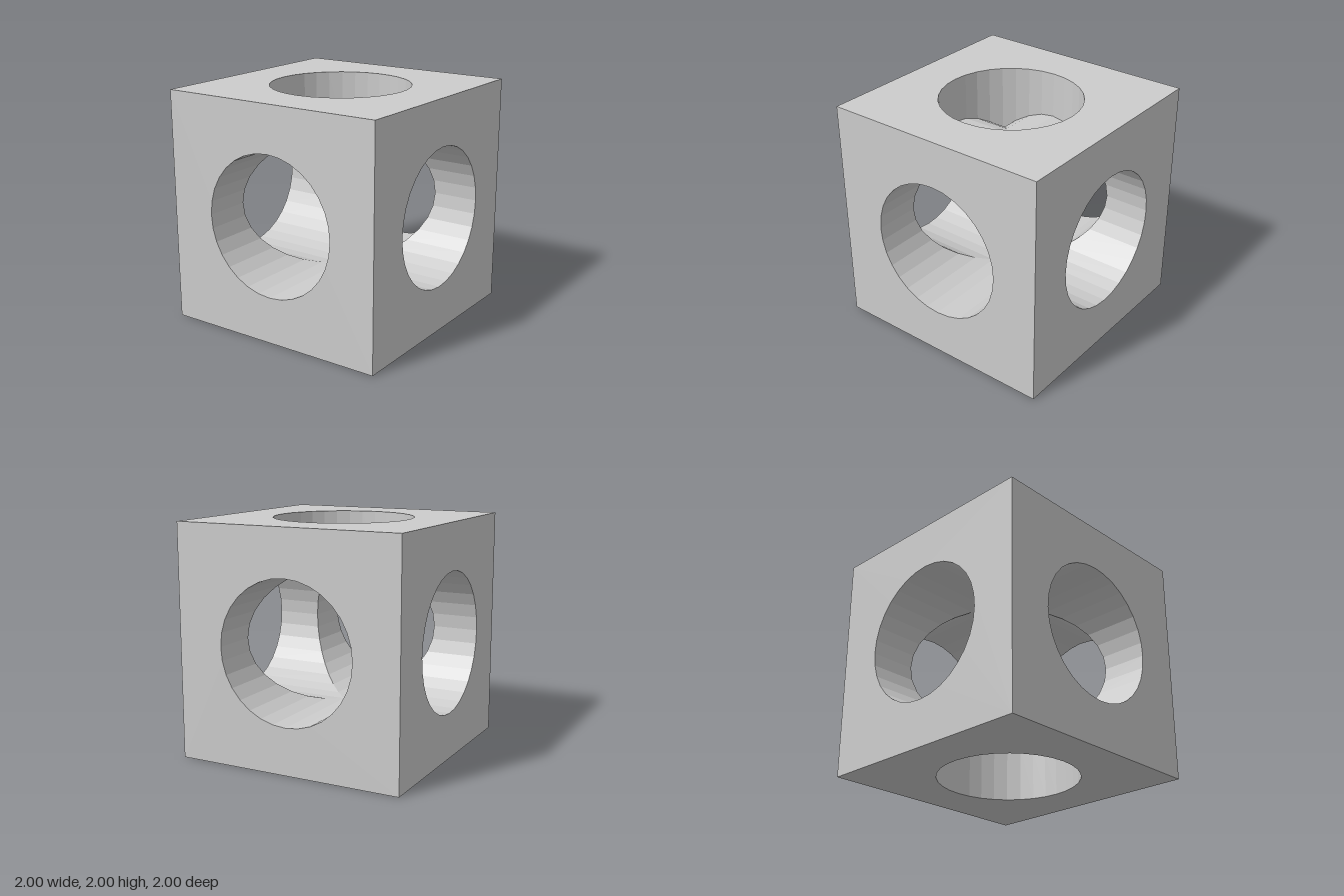
import * as THREE from 'three';

const HALF = 1;       // half the cube's side
const RADIUS = 0.6;   // bore radius
const SIDES = 32;     // facets per bore

const rim = Array.from({ length: SIDES + 1 }, (_, i) => {
  const a = (i / SIDES) * Math.PI * 2;
  return new THREE.Vector2(RADIUS * Math.cos(a), RADIUS * Math.sin(a));
});

// Square plate with a round opening, facing +z
function panelGeometry() {
  const shape = new THREE.Shape([
    new THREE.Vector2(-HALF, -HALF), new THREE.Vector2(HALF, -HALF),
    new THREE.Vector2(HALF, HALF), new THREE.Vector2(-HALF, HALF),
  ]);
  shape.holes.push(new THREE.Path(rim.slice(0, SIDES).reverse()));
  return new THREE.ShapeGeometry(shape).translate(0, 0, HALF);
}

// Faceted bore wall from the opening inward to depth(p), where it meets the other bores
function boreGeometry(depth) {
  const pos = [];
  for (let i = 0; i < SIDES; i++) {
    const p = rim[i], q = rim[i + 1];
    const p0 = [p.x, p.y, depth(p)], p1 = [p.x, p.y, HALF];
    const q0 = [q.x, q.y, depth(q)], q1 = [q.x, q.y, HALF];
    pos.push(...p0, ...p1, ...q1, ...p0, ...q1, ...q0);
  }
  const geo = new THREE.BufferGeometry();
  geo.setAttribute('position', new THREE.Float32BufferAttribute(pos, 3));
  geo.computeVertexNormals();
  return geo;
}

export function createModel() {
  const model = new THREE.Group();
  model.name = 'boredCube';
  const grey = new THREE.MeshStandardMaterial({ color: 0xcccccc, side: THREE.DoubleSide });
  grey.name = 'lightGrey';

  const panel = panelGeometry();
  // Level bores mitre into each other and stay closed above and below
  const tunnel = boreGeometry((p) => Math.abs(p.x));
  // Upright shafts stop on the outside of the crossing tunnels
  const shaft = boreGeometry((p) => Math.max(Math.abs(p.x), Math.abs(p.y)));

  const addSide = (name, bore, rx, ry) => {
    const side = new THREE.Group();
    side.name = name + 'Side';
    const face = new THREE.Mesh(panel, grey);
    face.name = name + 'Panel';
    const wall = new THREE.Mesh(bore, grey);
    wall.name = name + 'Bore';
    side.add(face, wall);
    side.rotation.set(rx, ry, 0);
    side.position.y = HALF;
    model.add(side);
  };

  ['front', 'left', 'back', 'right'].forEach((name, i) => addSide(name, tunnel, 0, (i * Math.PI) / 2));
  addSide('top', shaft, -Math.PI / 2, 0);
  addSide('bottom', shaft, Math.PI / 2, 0);
  return model;
}
